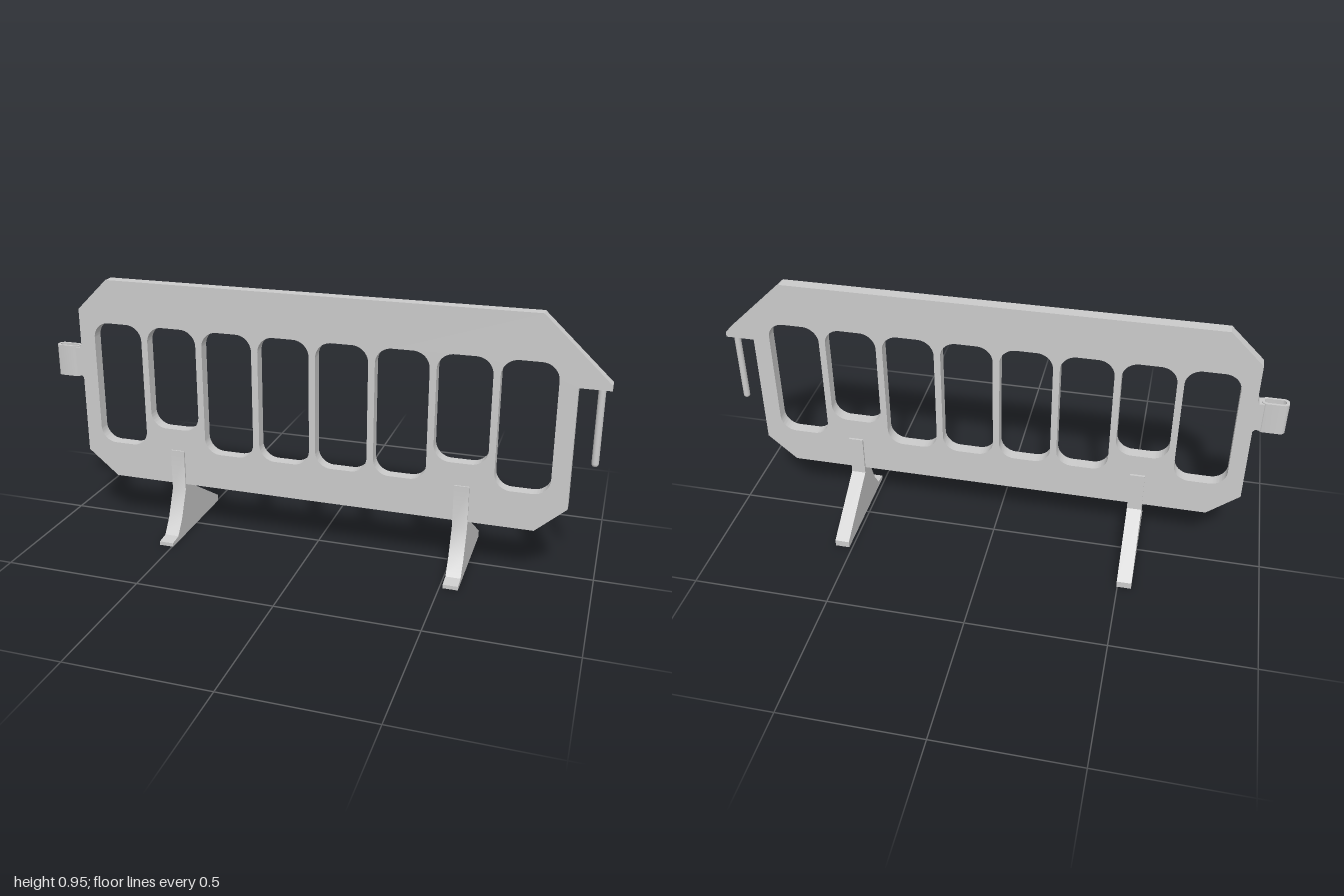
import * as THREE from 'three';
import { toCreasedNormals } from 'three/addons/utils/BufferGeometryUtils.js';

const material = new THREE.MeshStandardMaterial({ color: 0xcccccc });
const Z_BACK = 0.033, Z_FRONT = 0.076, Z_MID = (Z_BACK + Z_FRONT) / 2;

const polygon = (points) => new THREE.Shape(points.map(([x, y]) => new THREE.Vector2(x, y)));

// Rounded rectangle outline, used for windows and the socket
function roundedRect(x0, y0, x1, y1, r, Type = THREE.Path) {
  const p = new Type();
  p.moveTo(x0 + r, y0);
  p.lineTo(x1 - r, y0);
  p.absarc(x1 - r, y0 + r, r, -Math.PI / 2, 0);
  p.lineTo(x1, y1 - r);
  p.absarc(x1 - r, y1 - r, r, 0, Math.PI / 2);
  p.lineTo(x0 + r, y1);
  p.absarc(x0 + r, y1 - r, r, Math.PI / 2, Math.PI);
  p.lineTo(x0, y0 + r);
  p.absarc(x0 + r, y0 + r, r, Math.PI, Math.PI * 1.5);
  return p;
}

function extrude(shape, depth) {
  const g = new THREE.ExtrudeGeometry(shape, { depth, bevelEnabled: false, curveSegments: 8 });
  return toCreasedNormals(g, 0.5);
}

function part(name, geometry, parent) {
  const mesh = new THREE.Mesh(geometry, material);
  mesh.name = name;
  parent.add(mesh);
  return mesh;
}

export function createModel() {
  const model = new THREE.Group();
  model.name = 'barrier';

  // Panel with chamfered corners, a pin arm on its left and a short neck on its right
  const outline = polygon([
    [-0.78, 0.195], [0.79, 0.195], [0.895, 0.289], [0.895, 0.717], [1, 0.717],
    [1, 0.735], [0.77, 0.953], [-0.775, 0.953], [-0.893, 0.838],
    [-0.893, 0.705], [-0.9, 0.69], [-0.918, 0.69],
    [-0.918, 0.584], [-0.9, 0.584], [-0.893, 0.575], [-0.893, 0.289],
  ]);

  // Eight windows; those above the feet are shorter
  for (let i = 0; i < 8; i++) {
    const x = -0.741 + i * 0.2115;
    const bottom = i === 1 || i === 6 ? 0.41 : 0.33;
    outline.holes.push(roundedRect(x - 0.094, bottom, x + 0.094, 0.793, 0.058));
  }
  part('panel', extrude(outline, Z_FRONT - Z_BACK), model).position.z = Z_BACK;

  // Socket with a vertical slot that takes a neighbouring pin
  const socket = roundedRect(-1, -Z_FRONT, -0.908, -Z_BACK, 0.019, THREE.Shape);
  socket.holes.push(roundedRect(-0.99, -Z_FRONT + 0.009, -0.917, -Z_BACK - 0.009, 0.012));
  const socketGeometry = extrude(socket, 0.116);
  socketGeometry.rotateX(-Math.PI / 2);
  part('socket', socketGeometry, model).position.y = 0.578;

  // Round-ended coupling pin hanging from the arm
  const pin = part('couplingPin', new THREE.CapsuleGeometry(0.012, 0.255, 6, 16), model);
  pin.position.set(0.968, 0.5845, Z_MID);

  // Feet, profiled in (z, y) and extruded across x
  const profile = polygon([
    [-0.213, 0], [0.213, 0], [0.213, 0.014], [0.165, 0.02], [0.127, 0.073],
    [0.082, 0.174], [0.082, 0.328], [0.025, 0.328], [0.025, 0.174], [-0.213, 0.025],
  ]);
  const footGeometry = extrude(profile, 0.053);
  footGeometry.rotateY(-Math.PI / 2);
  footGeometry.translate(0.0265, 0, 0);
  for (const [name, x] of [['rightFoot', -0.523], ['leftFoot', 0.538]]) {
    part(name, footGeometry, model).position.x = x;
  }

  return model;
}
